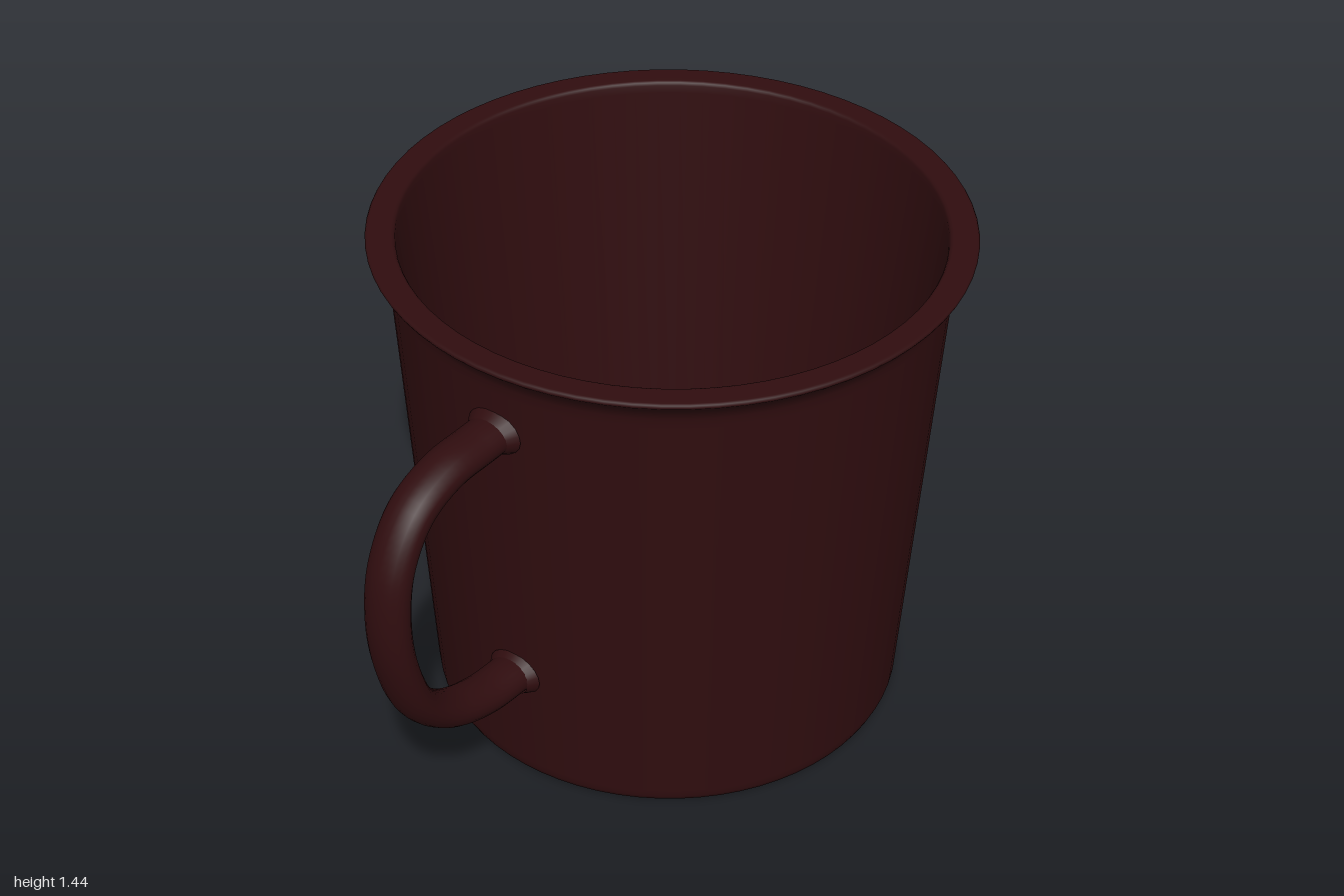
import * as THREE from 'three';

const AXIS_X = 0.205; // centre line of the cup
const R = 0.048; // handle thickness in its own plane
const DEPTH = 1.35; // handle is wider in z

export function createModel() {
  const enamel = new THREE.MeshStandardMaterial({ color: 0x300d0f });
  enamel.name = 'dark maroon enamel';
  const model = new THREE.Group();
  model.name = 'mug';

  const add = (parent, name, geometry, x = 0, y = 0, z = 0) => {
    const mesh = new THREE.Mesh(geometry, enamel);
    mesh.name = name;
    mesh.position.set(x, y, z);
    parent.add(mesh);
    return mesh;
  };

  // Cup: base, outer wall, flared lip, inner wall and floor in one profile;
  // closely spaced points keep the corners crisp
  const profile = [
    [0, 0], [0.625, 0], [0.635, 0.001], [0.648, 0.006], [0.654, 0.02], [0.656, 0.04],
    [0.739, 1.33], [0.742, 1.36], [0.749, 1.38], [0.765, 1.402], [0.792, 1.427],
    [0.795, 1.433], [0.792, 1.438], [0.785, 1.44],
    [0.728, 1.44], [0.721, 1.437], [0.717, 1.43], [0.715, 1.41],
    [0.576, 0.08], [0.573, 0.062], [0.567, 0.06], [0.55, 0.06], [0, 0.06],
  ].map(([x, y]) => new THREE.Vector2(x, y));
  add(model, 'cup', new THREE.LatheGeometry(profile, 72), AXIS_X);

  // Handle: a swept loop with an oval section
  const handle = new THREE.Group();
  handle.name = 'handle';
  handle.scale.z = DEPTH;
  model.add(handle);
  const path = new THREE.CatmullRomCurve3([
    [-0.48, 1.205], [-0.6, 1.205], [-0.73, 1.2], [-0.85, 1.148], [-0.928, 1.03],
    [-0.952, 0.88], [-0.935, 0.72], [-0.87, 0.55], [-0.76, 0.444],
    [-0.62, 0.389], [-0.5, 0.377], [-0.41, 0.372],
  ].map(([x, y]) => new THREE.Vector3(x, y, 0)));
  add(handle, 'handleLoop', new THREE.TubeGeometry(path, 64, R, 20));

  // Rounded ends inside the cup and small flared collars at the outer wall
  for (const [name, endX, wallX, y] of [
    ['upper', -0.48, -0.53, 1.205],
    ['lower', -0.41, -0.478, 0.372],
  ]) {
    add(handle, name + 'HandleEnd', new THREE.SphereGeometry(R, 20, 14), endX, y);
    const collar = new THREE.CylinderGeometry(R, R + 0.014, 0.03, 20, 1, true);
    add(handle, name + 'HandleCollar', collar.rotateZ(Math.PI / 2), wallX - 0.012, y);
  }
  return model;
}
